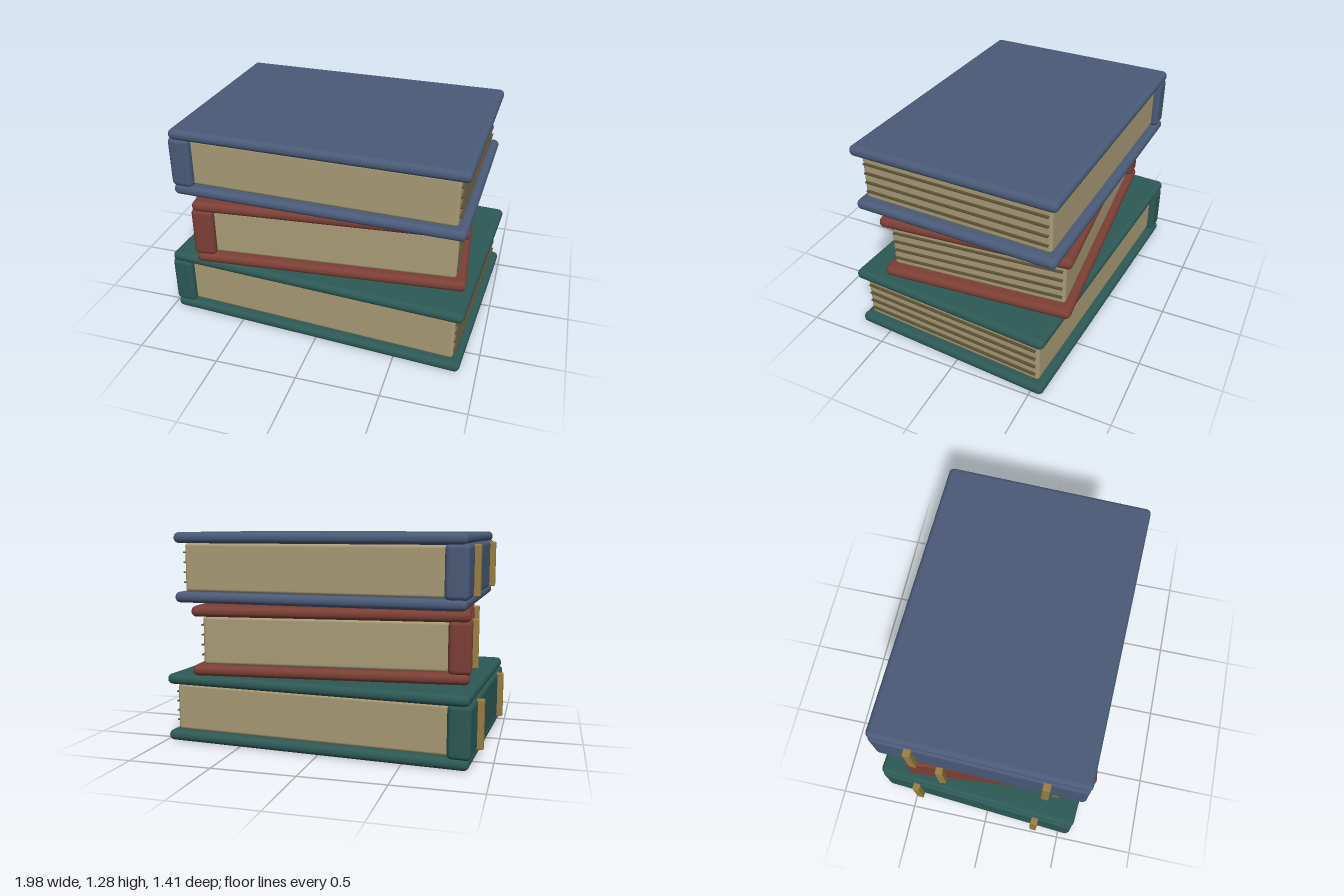
import * as THREE from 'three';
import { RoundedBoxGeometry } from 'three/addons/geometries/RoundedBoxGeometry.js';

const material = (color) => new THREE.MeshStandardMaterial({ color });
const paper = material(0xa89b76);
const pageLine = material(0x5c5038);
const brass = material(0x9a7f42);

const BOOK_HEIGHT = 0.42;
const COVER = 0.065;

// Adds a box (rounded when radius > 0) centred at x, y, z
function addBox(group, name, mat, [w, h, d], [x, y, z], radius = 0) {
  const geometry = radius
    ? new RoundedBoxGeometry(w, h, d, 4, radius)
    : new THREE.BoxGeometry(w, h, d);
  const mesh = new THREE.Mesh(geometry, mat);
  mesh.name = name;
  mesh.position.set(x, y, z);
  group.add(mesh);
}

// One closed book lying flat, its spine towards -x
function createBook({ name, color, width, depth, inset, baseY, turn }) {
  const book = new THREE.Group();
  book.name = name;
  const cloth = material(color);
  const half = width / 2;
  const midY = BOOK_HEIGHT / 2;

  // Cover boards
  addBox(book, 'bottomCover', cloth, [width, COVER, depth], [0, COVER / 2, 0], 0.031);
  addBox(book, 'topCover', cloth, [width, COVER, depth], [0, BOOK_HEIGHT - COVER / 2, 0], 0.031);

  // Spine, standing slightly proud of the boards
  addBox(book, 'spine', cloth, [0.135, 0.31, depth - 0.01], [-half + 0.0575, midY, 0], 0.03);

  // Page block
  const pageRight = half - inset;
  const pageLeft = -half + 0.06;
  const pageDepth = depth - 0.09;
  addBox(book, 'pages', paper, [pageRight - pageLeft, 0.292, pageDepth],
    [(pageRight + pageLeft) / 2, midY, 0], 0.02);

  // Thin page lines on the fore edge
  for (let i = 0; i < 4; i++) {
    addBox(book, 'pageLine', pageLine, [0.03, 0.008, pageDepth - 0.035],
      [pageRight + 0.002, midY + (i - 1.5) * 0.06, 0]);
  }

  // Raised spine bands
  for (const side of [-1, 1]) {
    addBox(book, 'spineBand', brass, [0.045, 0.29, 0.045],
      [-half - 0.0225, midY, side * depth * 0.31], 0.006);
  }

  book.position.set(0.011, baseY, 0);
  book.rotation.y = turn;
  return book;
}

export function createModel() {
  const stack = new THREE.Group();
  stack.name = 'bookStack';
  stack.add(
    createBook({ name: 'bottomBook', color: 0x2d5955, width: 1.87, depth: 1.285, inset: 0.05, baseY: 0, turn: -0.07 }),
    createBook({ name: 'middleBook', color: 0x7b3f35, width: 1.64, depth: 1.155, inset: 0.06, baseY: 0.4325, turn: 0.087 }),
    createBook({ name: 'topBook', color: 0x4a5a78, width: 1.75, depth: 1.26, inset: 0.055, baseY: 0.865, turn: -0.03 }),
  );
  return stack;
}
